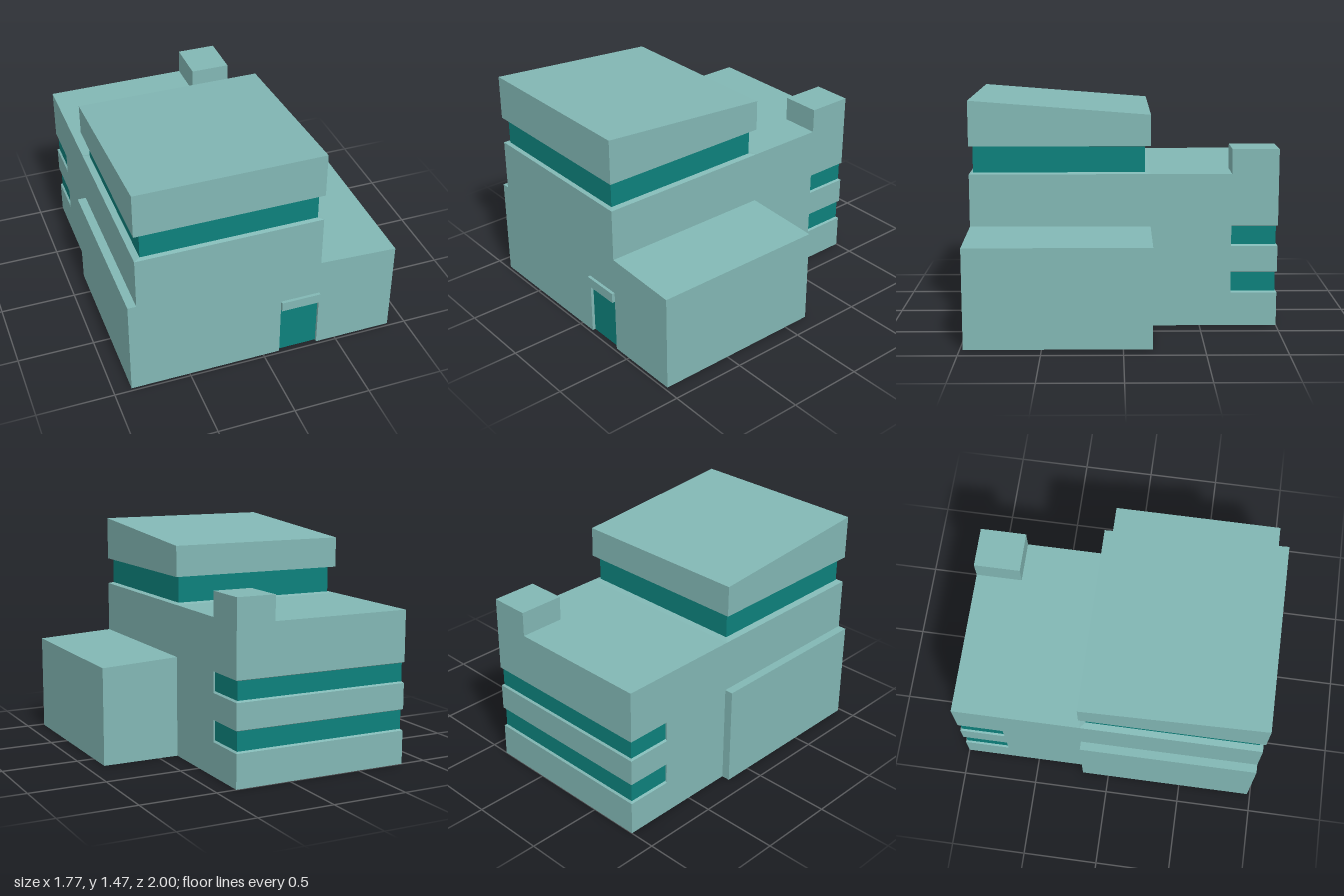
import * as THREE from 'three';

const wall = new THREE.MeshStandardMaterial({ color: 0x82b7b4, side: THREE.DoubleSide });
wall.name = 'pale teal wall';
const glass = new THREE.MeshStandardMaterial({ color: 0x0d817c, side: THREE.DoubleSide });
glass.name = 'dark teal glass';

// Main outline: right, left, rear, front, and the rear face of the tower and wings
const R = 0.37, L = -0.83, B = -1, F = 0.98, M = -0.18, WING = 0.885;

// Flat-sided skin made of four-cornered faces
function skin(name, material, quads) {
  const positions = [];
  for (const [a, b, c, d] of quads) positions.push(...a, ...b, ...c, ...a, ...c, ...d);
  const geometry = new THREE.BufferGeometry();
  geometry.setAttribute('position', new THREE.Float32BufferAttribute(positions, 3));
  geometry.computeVertexNormals();
  const mesh = new THREE.Mesh(geometry, material);
  mesh.name = name;
  return mesh;
}

// Faces joining two matching loops of points
function join(lower, upper, closed) {
  const quads = [];
  const n = lower.length;
  for (let i = 0; i < (closed ? n : n - 1); i++) {
    const j = (i + 1) % n;
    quads.push([lower[i], lower[j], upper[j], upper[i]]);
  }
  return quads;
}

// Rectangle around the tower, and U-shaped path around the rear
const towerLoop = (y, inset, yRear = y) => {
  const l = L + inset, r = R - inset * 0.8, f = F - inset * 0.6, b = M + inset * 0.9;
  return [[l, y, f], [r, y, f], [r, yRear, b], [l, yRear, b]];
};
const rearLoop = (y, inset) => [
  [R - inset, y, -0.7], [R - inset, y, B + inset], [L + inset, y, B + inset], [L + inset, y, -0.7],
];

// Upright face at constant x
const sideFace = (x, z0, z1, y0, y1) => [[x, y0, z1], [x, y0, z0], [x, y1, z0], [x, y1, z1]];

function box(name, x0, x1, y0, y1, z0, z1) {
  const mesh = new THREE.Mesh(new THREE.BoxGeometry(x1 - x0, y1 - y0, z1 - z0), wall);
  mesh.position.set((x0 + x1) / 2, (y0 + y1) / 2, (z0 + z1) / 2);
  mesh.name = name;
  return mesh;
}

export function createModel() {
  const model = new THREE.Group();
  model.name = 'building';

  // Front wall with the wings and the door notch
  const outline = [
    [-WING, 0], [0.11, 0], [0.11, 0.355], [R, 0.355], [R, 0], [WING, 0], [WING, 0.635],
    [R, 0.66], [R, 1], [L, 1], [L, 0.66], [-WING, 0.66],
  ].map(([x, y]) => new THREE.Vector2(x, y));
  const front = new THREE.Mesh(new THREE.ShapeGeometry(new THREE.Shape(outline)), wall);
  front.position.z = F;
  front.name = 'frontWall';
  model.add(front);

  // Side walls of the main block and its flat rear roof
  const sides = [];
  for (const x of [R, L]) {
    sides.push(sideFace(x, -0.7, M, 0, 1), sideFace(x, M, F, 0.66, 1));
  }
  model.add(skin('sideWalls', wall, sides));
  model.add(skin('rearRoof', wall, [[[L, 1, M], [R, 1, M], [R, 1, B], [L, 1, B]]]));

  // Solid bands wrapping the rear
  for (const [y0, y1] of [[0, 0.22], [0.36, 0.53], [0.665, 1]]) {
    model.add(skin('rearWallBand', wall, join(rearLoop(y0, 0), rearLoop(y1, 0), false)));
  }

  // Recessed ribbon windows with sills, heads and end reveals
  const d = 0.012;
  for (const [y0, y1] of [[0.22, 0.36], [0.53, 0.665]]) {
    const g0 = y0 + 0.01, g1 = y1 - 0.006;
    model.add(skin('rearWindow', glass, join(rearLoop(g0, d), rearLoop(g1, d), false)));
    const trim = [
      ...join(rearLoop(y0, 0), rearLoop(g0, d), false),
      ...join(rearLoop(g1, d), rearLoop(y1, 0), false),
    ];
    for (const [x, s] of [[R, -1], [L, 1]]) {
      trim.push([[x, y0, -0.7], [x + s * d, g0, -0.7], [x + s * d, g1, -0.7], [x, y1, -0.7]]);
    }
    model.add(skin('rearWindowTrim', wall, trim));
  }

  // Wide right wing with a gently sloping roof, open beneath
  model.add(skin('wideWing', wall, [
    sideFace(WING, M, F, 0, 0.635),
    [[R, 0.66, F], [WING, 0.635, F], [WING, 0.635, M], [R, 0.66, M]],
    [[WING, 0, M], [R, 0, M], [R, 0.66, M], [WING, 0.635, M]],
  ]));

  // Narrow wing on the other side
  model.add(skin('narrowWing', wall, [
    sideFace(-WING, M, F, 0, 0.66),
    [[-WING, 0.66, F], [L, 0.66, F], [L, 0.66, M], [-WING, 0.66, M]],
    [[-WING, 0, M], [L, 0, M], [L, 0, F], [-WING, 0, F]],
    [[L, 0, M], [-WING, 0, M], [-WING, 0.66, M], [L, 0.66, M]],
  ]));

  // Tower: ledge, glass band, soffit, parapet and sloping roof
  model.add(skin('towerLedge', wall, join(towerLoop(1, 0), towerLoop(1.008, 0.04), true)));
  model.add(skin('towerWindow', glass, join(towerLoop(1.008, 0.04), towerLoop(1.175, 0.04), true)));
  model.add(skin('towerSoffit', wall, join(towerLoop(1.175, 0.04), towerLoop(1.18, 0), true)));
  const top = towerLoop(1.47, 0, 1.38);
  model.add(skin('towerTop', wall, [...join(towerLoop(1.18, 0), top, true), top]));

  // Rooftop block at the rear corner
  model.add(box('roofBlock', 0.11, R, 1, 1.16, B, -0.7));

  // Recessed door, its reveal and the canopy above
  const doorLoop = (z) => [[0.11, 0, z], [0.11, 0.355, z], [R, 0.355, z], [R, 0, z]];
  const [a, b, c, e] = doorLoop(0.96);
  model.add(skin('door', glass, [[a, e, c, b]]));
  model.add(skin('doorReveal', wall, join(doorLoop(F), doorLoop(0.96), false)));
  model.add(box('doorCanopy', 0.11, R, 0.355, 0.42, F, 1));

  return model;
}
